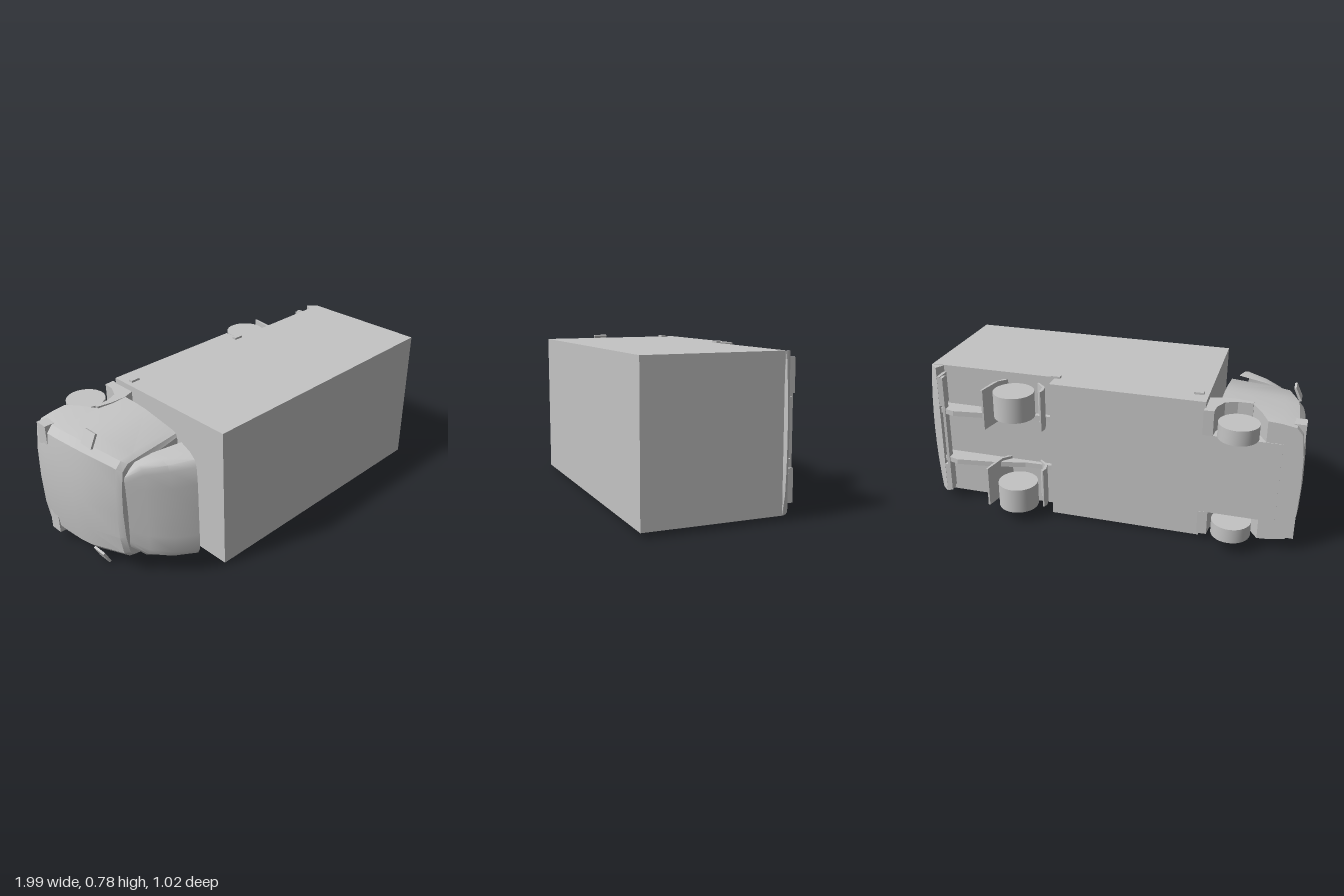
import * as THREE from 'three';
import { toCreasedNormals } from 'three/addons/utils/BufferGeometryUtils.js';

// Truck lying on its side: nose along -x, roof along +z, width along y.
export function createModel() {
  const truck = new THREE.Group();
  truck.name = 'truck';
  const grey = new THREE.MeshStandardMaterial({ color: 0xc4c4c4, side: THREE.DoubleSide });
  grey.name = 'light grey';

  function add(name, geometry) {
    const mesh = new THREE.Mesh(geometry, grey);
    mesh.name = name;
    truck.add(mesh);
    return mesh;
  }

  // Box given by its limits
  function box(name, x0, x1, y0, y1, z0, z1) {
    const mesh = add(name, new THREE.BoxGeometry(x1 - x0, y1 - y0, z1 - z0));
    mesh.position.set((x0 + x1) / 2, (y0 + y1) / 2, (z0 + z1) / 2);
    return mesh;
  }

  // Same box on both sides of the truck
  function pair(name, x0, x1, y0, y1, z0, z1) {
    box(name + 'Left', x0, x1, y0, y1, z0, z1);
    box(name + 'Right', x0, x1, -y1, -y0, z0, z1);
  }

  // Side profile (x, z) extruded across y0..y1
  function profile(name, points, y0, y1) {
    const shape = new THREE.Shape(points.map(([x, z]) => new THREE.Vector2(x, z)));
    const geometry = new THREE.ExtrudeGeometry(shape, { depth: y1 - y0, bevelEnabled: false });
    geometry.rotateX(Math.PI / 2);
    geometry.translate(0, y1, 0);
    // the turn maps the profile height to +z
    return add(name, geometry);
  }

  function profilePair(name, points, y0, y1) {
    profile(name + 'Left', points, y0, y1);
    profile(name + 'Right', points, -y1, -y0);
  }

  // Skin over rings of equal length
  function loft(rings, closed, crease) {
    const n = rings[0].length;
    const index = [];
    for (let r = 0; r < rings.length - 1; r++) {
      for (let i = 0; i < (closed ? n : n - 1); i++) {
        const a = r * n + i, b = r * n + (i + 1) % n;
        index.push(a, b, b + n, a, b + n, a + n);
      }
    }
    if (closed) {
      const top = (rings.length - 1) * n;
      for (let i = 1; i < n - 1; i++) {
        index.push(0, i + 1, i, top, top + i, top + i + 1);
      }
    }
    const geometry = new THREE.BufferGeometry();
    geometry.setAttribute('position', new THREE.Float32BufferAttribute(rings.flat(2), 3));
    geometry.setIndex(index);
    return toCreasedNormals(geometry, crease);
  }

  // Cargo body and the deep skirt below its front half
  box('cargoBox', -0.52, 0.965, -0.375, 0.375, -0.247, 0.45);
  box('cargoSkirt', -0.52, 0.275, -0.375, 0.375, -0.342, -0.247);
  for (const x of [-0.47, 0.27]) pair('markerLamp', x - 0.025, x + 0.025, 0.37, 0.386, -0.262, -0.237);

  // Cab: outline with a bowed nose at each height, cut away over the front wheels
  const cabRing = (z, front, rear, hf, hr) => {
    const half = [[rear, hr], [front + 0.12, hf], [front + 0.05, hf * 0.96],
      [front + 0.02, hf * 0.85], [front + 0.005, hf * 0.5]];
    return [
      ...half.map(([x, y]) => [x, y, z]), [front, 0, z],
      ...half.slice().reverse().map(([x, y]) => [x, -y, z]),
    ];
  };
  add('cab', loft([
    cabRing(-0.367, -1.005, -0.82, 0.32, 0.325),
    cabRing(-0.3, -1.01, -0.785, 0.325, 0.335),
    cabRing(-0.21, -1.008, -0.735, 0.325, 0.335),
    cabRing(-0.205, -1.008, -0.577, 0.325, 0.345),
    cabRing(-0.1, -1.0, -0.577, 0.325, 0.342),
    cabRing(-0.03, -0.99, -0.578, 0.32, 0.338),
    cabRing(0.17, -0.94, -0.58, 0.285, 0.305),
    cabRing(0.193, -0.92, -0.58, 0.27, 0.295),
    cabRing(0.203, -0.88, -0.582, 0.24, 0.28),
  ], true, 0.5));
  box('cabUnderside', -0.9, -0.515, -0.215, 0.215, -0.37, -0.2);
  profilePair('frontMudguard', [[-0.58, -0.19], [-0.515, -0.212], [-0.515, -0.373],
    [-0.565, -0.37], [-0.57, -0.31], [-0.6, -0.25], [-0.66, -0.225], [-0.735, -0.225],
    [-0.735, -0.205], [-0.66, -0.19]].map(([x, z]) => [x, z]), 0.215, 0.345);
  pair('headlamp', -0.998, -0.94, 0.2, 0.315, -0.34, -0.27);

  // Door mirrors, swept outward
  for (const s of [-1, 1]) {
    const mirror = add('mirror', new THREE.BoxGeometry(0.012, 0.075, 0.08));
    mirror.position.set(-0.935, s * 0.338, 0);
    mirror.rotation.z = -s * 0.45;
  }

  // Open roof fairing, front to back: top point, lower edge point, half width
  const fairing = [
    [-0.9, 0.195, -0.895, 0.19, 0.2],
    [-0.838, 0.266, -0.84, 0.206, 0.262],
    [-0.753, 0.352, -0.75, 0.225, 0.28],
    [-0.65, 0.416, -0.608, 0.263, 0.29],
  ];
  add('roofFairing', loft(fairing.map(([tx, tz, bx, bz, h]) => {
    const half = [[0, 1], [0.55, 0.985], [0.85, 0.93], [0.96, 0.82], [1, 0.5]];
    const at = ([t, k], s) => [bx + (tx - bx) * t, s * h * k, bz + (tz - bz) * t];
    return [...half.map(p => at(p, 1)), at([1, 0], 1), ...half.slice().reverse().map(p => at(p, -1))];
  }), false, 0.7));

  // Wheels: single at the front, wide at the rear
  for (const [name, x, z, r, y0, y1] of [
    ['frontWheel', -0.687, -0.379, 0.1, 0.23, 0.307],
    ['rearWheel', 0.456, -0.371, 0.105, 0.193, 0.328],
  ]) {
    for (const s of [-1, 1]) {
      const wheel = add(name, toCreasedNormals(new THREE.CylinderGeometry(r, r, y1 - y0, 32), 0.6));
      wheel.position.set(x, s * (y0 + y1) / 2, z);
    }
  }

  // Rear chassis rails, deeper towards the tail
  profilePair('chassisRail', [[0.27, -0.245], [0.9, -0.245], [0.9, -0.32], [0.82, -0.345],
    [0.6, -0.315], [0.45, -0.275], [0.27, -0.27]], 0.13, 0.158);

  // Curved flaps before and behind the rear wheels
  profilePair('frontFlap', [[0.308, -0.335], [0.318, -0.29], [0.365, -0.247], [0.372, -0.252],
    [0.328, -0.3], [0.322, -0.365], [0.315, -0.365]], 0.115, 0.335);
  profilePair('rearFlap', [[0.535, -0.25], [0.575, -0.29], [0.603, -0.425], [0.613, -0.425],
    [0.595, -0.31], [0.56, -0.25]], 0.115, 0.335);

  // Tail: bar, lamp panels and bowed sill
  box('rearBar', 0.87, 0.885, -0.335, 0.335, -0.335, -0.295);
  pair('lampPanel', 0.885, 0.9, 0.175, 0.34, -0.335, -0.255);
  pair('tailLamp', 0.9, 0.908, 0.2, 0.335, -0.31, -0.26);
  const sill = [];
  for (let i = 0; i <= 8; i++) {
    const k = i / 4 - 1, bow = 0.02 * (1 - k * k);
    sill.push([[0.9, k * 0.372, -0.247], [0.965, k * 0.372, -0.24], [0.967 + bow, k * 0.372, -0.247],
      [0.965 + bow, k * 0.372, -0.257], [0.925, k * 0.372, -0.292]]);
  }
  add('rearSill', loft(sill, true, 0.5));

  // Lay the truck down with its slight tilt
  truck.rotation.set(0, -0.054, 0.0095);
  truck.position.y = 0.395;
  const model = new THREE.Group();
  model.name = 'tippedTruck';
  model.add(truck);
  return model;
}
